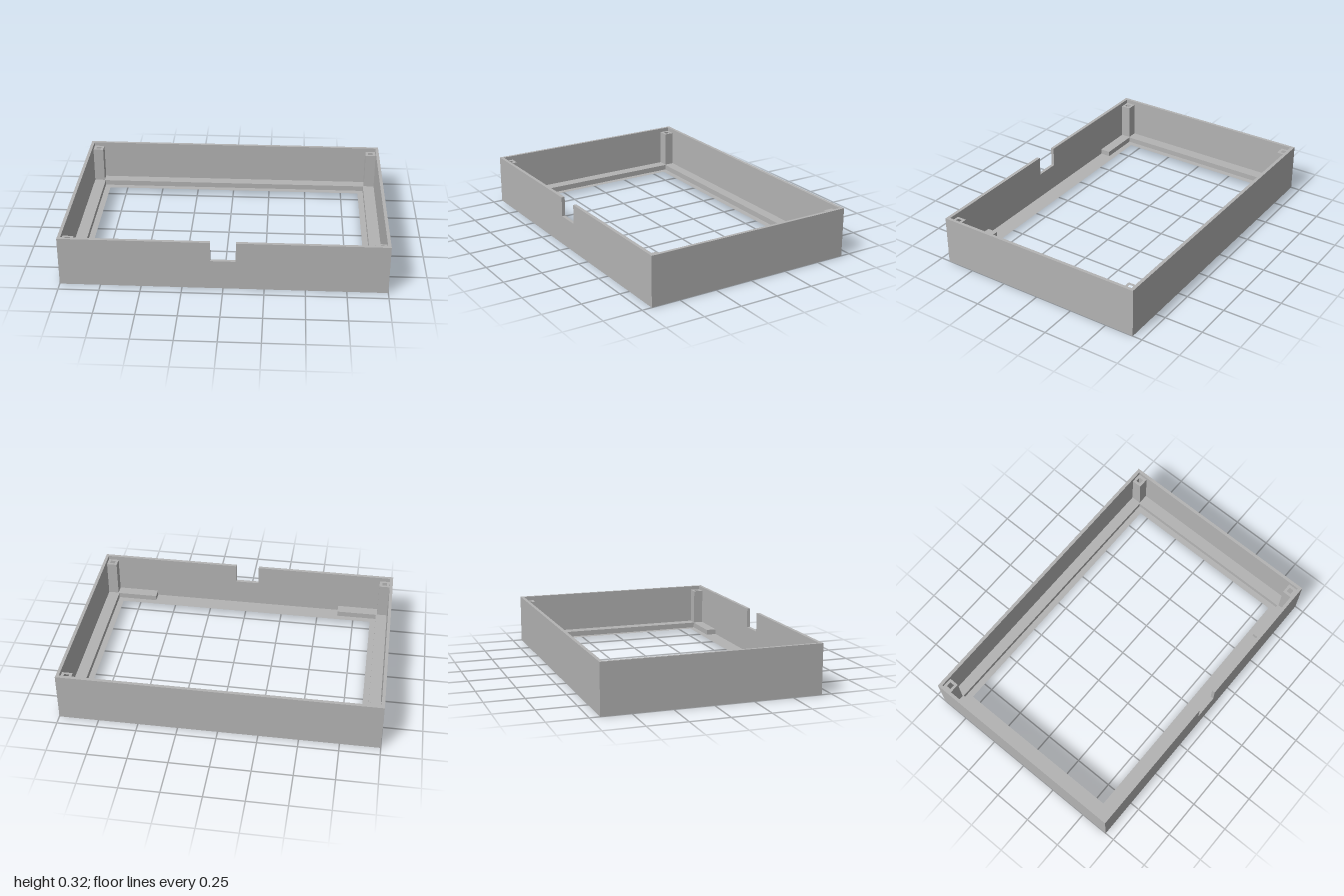
import * as THREE from 'three';

// Half sizes: outer faces, inner wall faces, ledge edge, opening edge
const OX = 1, OZ = 0.6875;
const IX = 0.98, IZ = 0.666;
const LX = 0.905, LZ = 0.597;
const HX = 0.867, HZ = 0.557;
const HEIGHT = 0.316, FLOOR = 0.02, LEDGE = 0.055, POST = 0.29;

const points = (list) => list.map(([x, z]) => new THREE.Vector2(x, -z));
const rect = (x, z, cx = 0, cz = 0) => [[cx - x, cz - z], [cx + x, cz - z], [cx + x, cz + z], [cx - x, cz + z]];

// Raises an outline drawn in x, z from one height to another
function slab(outline, y0, y1, hole) {
  const shape = new THREE.Shape(points(outline));
  if (hole) shape.holes.push(new THREE.Path(points(hole)));
  const geometry = new THREE.ExtrudeGeometry(shape, { depth: y1 - y0, bevelEnabled: false });
  return geometry.rotateX(-Math.PI / 2).translate(0, y0, 0);
}

export function createModel() {
  const model = new THREE.Group();
  model.name = 'openFrameCase';
  const grey = new THREE.MeshStandardMaterial({ color: 0xb3b3b3 });
  grey.name = 'grey';

  const add = (name, geometry) => {
    const mesh = new THREE.Mesh(geometry, grey);
    mesh.name = name;
    model.add(mesh);
  };

  // Floor border around the large opening
  add('floorFrame', slab(rect(IX, IZ), 0, FLOOR, rect(HX, HZ)));

  // Back and side walls in one U-shaped piece
  add('backAndSideWalls', slab([
    [-OX, -OZ], [OX, -OZ], [OX, IZ], [IX, IZ],
    [IX, -IZ], [-IX, -IZ], [-IX, IZ], [-OX, IZ],
  ], 0, HEIGHT));

  // Front wall with the notch in its upper edge
  const front = new THREE.Shape([
    [-OX, 0], [OX, 0], [OX, HEIGHT], [0.077, HEIGHT], [0.077, 0.19],
    [-0.077, 0.19], [-0.077, HEIGHT], [-OX, HEIGHT],
  ].map(([x, y]) => new THREE.Vector2(x, y)));
  add('frontWall', new THREE.ExtrudeGeometry(front, { depth: OZ - IZ, bevelEnabled: false }).translate(0, 0, IZ));

  // Raised ledge, interrupted along the middle of the front
  const gap = 0.64;
  add('raisedLedge', slab([
    [-IX, -IZ], [IX, -IZ], [IX, IZ], [gap, IZ], [gap, LZ], [LX, LZ],
    [LX, -LZ], [-LX, -LZ], [-LX, LZ], [-gap, LZ], [-gap, IZ], [-IX, IZ],
  ], FLOOR, LEDGE));

  // Corner posts with square screw holes
  for (const sx of [-1, 1]) {
    for (const sz of [-1, 1]) {
      const x = sx * 0.946, z = sz * 0.634;
      const name = (sz > 0 ? 'front' : 'back') + (sx > 0 ? 'Left' : 'Right') + 'Post';
      add(name, slab(rect(0.034, 0.032, x, z), LEDGE, POST, rect(0.016, 0.015, x, z)));
    }
  }
  return model;
}
